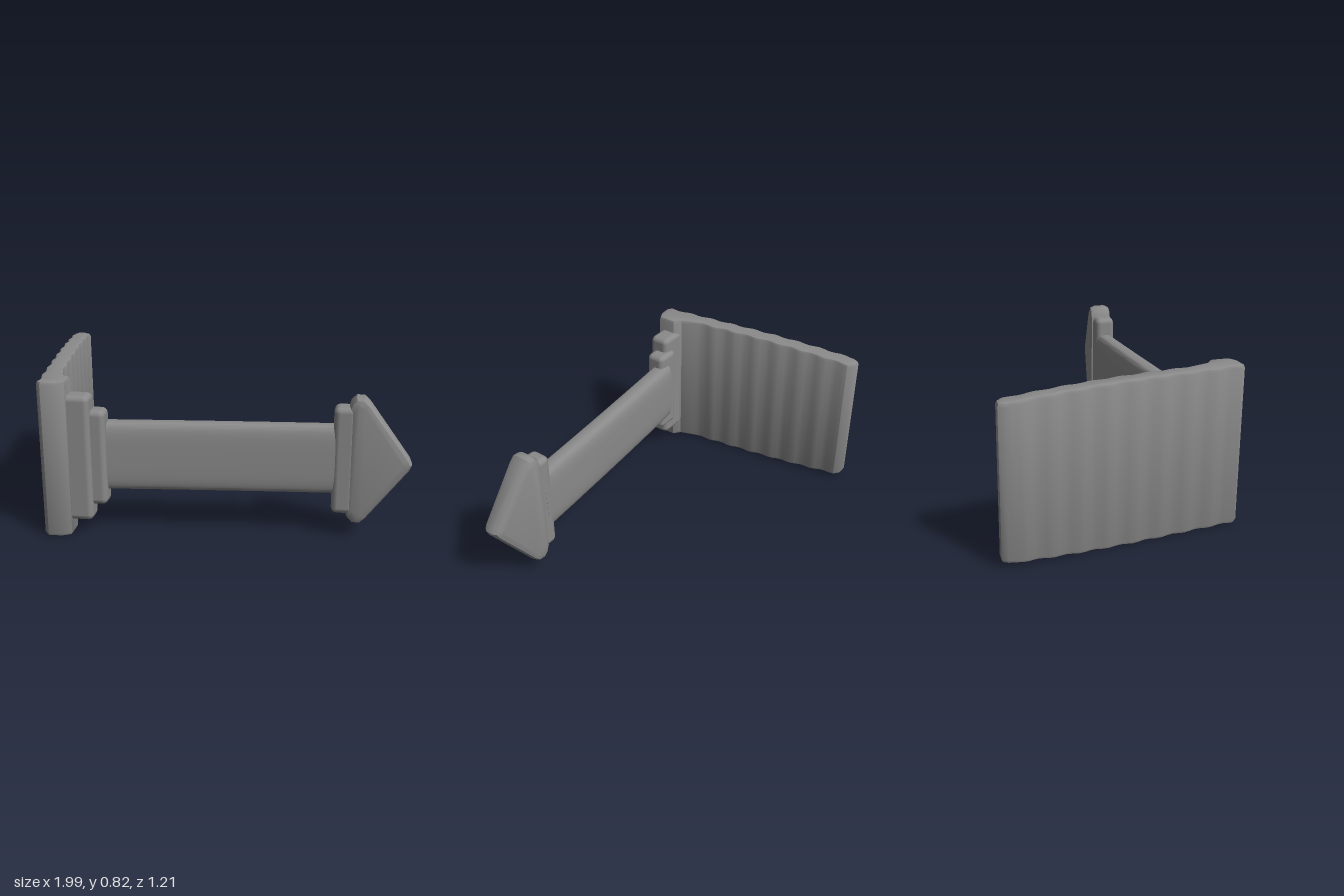
import * as THREE from 'three';
import { toCreasedNormals } from 'three/addons/utils/BufferGeometryUtils.js';
import { RoundedBoxGeometry } from 'three/addons/geometries/RoundedBoxGeometry.js';

const MID = 0.41; // height of the symmetry plane

export function createModel() {
  const group = new THREE.Group();
  const grey = new THREE.MeshStandardMaterial({ color: 0x8a8a8a });
  grey.name = 'grey';

  const add = (name, geometry) => {
    const mesh = new THREE.Mesh(geometry, grey);
    mesh.name = name;
    group.add(mesh);
    return mesh;
  };
  const shapeOf = (pts) => new THREE.Shape(pts.map(([x, y]) => new THREE.Vector2(x, y)));
  const extrude = (pts, depth, bevel, steps = 1) => new THREE.ExtrudeGeometry(shapeOf(pts), {
    depth: depth - 2 * bevel, steps, bevelEnabled: bevel > 0,
    bevelSize: bevel, bevelThickness: bevel, bevelOffset: -bevel, bevelSegments: 2,
  }).translate(0, 0, bevel);
  const bend = (geometry, rule) => {
    const p = geometry.attributes.position;
    const v = new THREE.Vector3();
    for (let i = 0; i < p.count; i++) {
      rule(v.fromBufferAttribute(p, i));
      p.setXYZ(i, v.x, v.y, v.z);
    }
    return toCreasedNormals(geometry, 0.6);
  };
  const block = (name, x0, x1, halfHeight, z0, z1, r = 0.03) =>
    add(name, new RoundedBoxGeometry(x1 - x0, halfHeight * 2, z1 - z0, 2, r))
      .position.set((x0 + x1) / 2, MID, (z0 + z1) / 2);

  // Slanting plate: a plan outline with shallow ripples, extruded upwards
  const plan = (offset, z) => {
    const slant = -0.952 + (z + 0.6) * 0.145;
    return [slant + offset + 0.006 * Math.sin((z + 0.6) * 2 * Math.PI / 0.135), -z];
  };
  const outer = [];
  const inner = [];
  for (let i = 0; i <= 36; i++) {
    const z = -0.575 + i * 1.1 / 36;
    outer.push(plan(-0.046, z));
    inner.push(plan(0.048, z));
  }
  const outline = [
    [-0.975, 0.605], ...outer, [-0.835, -0.575], [-0.81, -0.6], [-0.74, -0.595],
    [-0.695, -0.57], [-0.695, -0.47], [-0.735, -0.44],
    ...inner.reverse().filter(([, y]) => y > -0.4), [-0.925, 0.605],
  ];
  const plate = extrude(outline, 0.82, 0.018).rotateX(-Math.PI / 2);
  add('plate', bend(plate, (v) => {
    const taper = 1 - 0.07 * Math.pow(Math.max(0, (0.1 - v.z) / 0.7), 2);
    v.y = MID + (v.y - MID) * taper;
  }));

  // Stepped mount between plate and arm
  block('mountLargeStep', -0.76, -0.585, 0.33, 0.445, 0.56);
  block('mountSmallStep', -0.66, -0.515, 0.25, 0.425, 0.535);

  // Arm: a rounded bar swept along x, drifting backwards
  const section = [];
  for (let i = 0; i < 40; i++) {
    const a = i / 40 * Math.PI * 2;
    const soft = (c) => Math.sign(c) * Math.pow(Math.abs(c), 0.5);
    section.push([0.058 * soft(Math.cos(a)), 0.18 * soft(Math.sin(a))]);
  }
  const arm = extrude(section, 1.24, 0, 16).rotateY(Math.PI / 2);
  add('arm', bend(arm, (v) => {
    v.x -= 0.58;
    const t = (v.x + 0.58) / 1.24;
    v.z = -v.z * -(1 - 0.1 * t) + 0.457 - 0.136 * t + 0.018 * t * t;
    v.y += MID;
  }));

  // Collar and arrow head
  block('headCollar', 0.608, 0.72, 0.28, 0.288, 0.4);
  const head = [
    [0.675, 0.26], [0.69, 0.305], [0.715, 0.33], [0.755, 0.33], [0.785, 0.3], [0.985, 0.03], [0.998, 0],
    [0.985, -0.03], [0.785, -0.3], [0.755, -0.33], [0.715, -0.33], [0.69, -0.305], [0.675, -0.26],
  ].reverse();
  add('arrowHead', bend(extrude(head, 0.13, 0.035), (v) => {
    const t = (v.x - 0.68) / 0.32;
    v.z = 0.335 + (v.z - 0.065) * (1 - 0.3 * t * t) + 0.032 * t;
    v.y += MID;
  }));

  return group;
}
